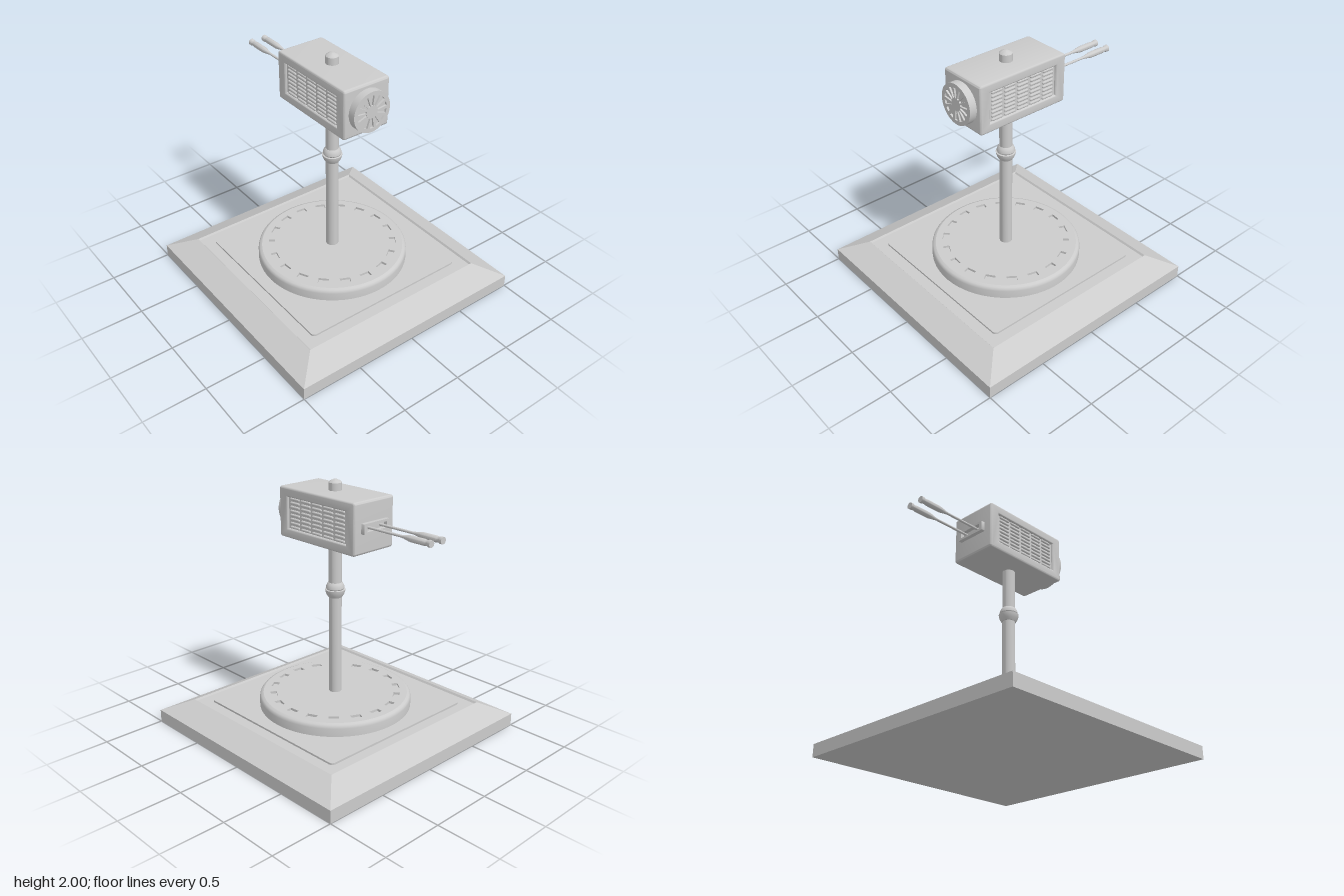
import * as THREE from 'three';
import { toCreasedNormals } from 'three/addons/utils/BufferGeometryUtils.js';

const material = new THREE.MeshStandardMaterial({ color: 0xcccccc });
const v2 = (pts) => pts.map(([x, y]) => new THREE.Vector2(x, y));

function add(parent, name, geometry, x = 0, y = 0, z = 0) {
  const mesh = new THREE.Mesh(geometry, material);
  mesh.name = name;
  mesh.position.set(x, y, z);
  parent.add(mesh);
  return mesh;
}

// Lathe with crisp corners where the profile turns sharply
function turned(pts, segments = 32) {
  return toCreasedNormals(new THREE.LatheGeometry(v2(pts), segments).toNonIndexed(), 0.6);
}

function roundedRect(w, h, r) {
  const s = new THREE.Shape();
  const x = w / 2 - r, y = h / 2 - r;
  s.absarc(x, y, r, 0, Math.PI / 2);
  s.absarc(-x, y, r, Math.PI / 2, Math.PI);
  s.absarc(-x, -y, r, Math.PI, Math.PI * 1.5);
  s.absarc(x, -y, r, Math.PI * 1.5, Math.PI * 2);
  s.closePath();
  return s;
}

const rectHole = (w, h) =>
  new THREE.Path(v2([[-w / 2, -h / 2], [-w / 2, h / 2], [w / 2, h / 2], [w / 2, -h / 2]]));

// Plate of total depth d, from z = 0 to z = d, with an optional rounded edge
function plate(shape, d, bevel = 0) {
  const g = new THREE.ExtrudeGeometry(shape, {
    depth: d - 2 * bevel, curveSegments: 6, bevelEnabled: bevel > 0,
    bevelThickness: bevel, bevelSize: bevel, bevelOffset: -bevel, bevelSegments: 3,
  });
  g.translate(0, 0, bevel);
  return toCreasedNormals(g, 0.6);
}

// Disc pierced by count holes; corners lists [radius, tangent offset]
function piercedDisc(radius, depth, count, offset, corners) {
  const s = new THREE.Shape();
  for (let i = 0; i < 64; i++) {
    const a = (i / 64) * Math.PI * 2;
    s[i ? 'lineTo' : 'moveTo'](radius * Math.cos(a), radius * Math.sin(a));
  }
  s.closePath();
  for (let i = 0; i < count; i++) {
    const a = offset + (i / count) * Math.PI * 2;
    const c = Math.cos(a), n = Math.sin(a);
    s.holes.push(new THREE.Path(v2(corners.map(([r, t]) => [r * c - t * n, r * n + t * c]))));
  }
  return plate(s, depth);
}

function createBase() {
  const base = new THREE.Group();
  base.name = 'base';
  // Square plinth with sloped rim and shallow recess
  const k = Math.SQRT2;
  const profile = [[0, 0], [1, 0], [1, 0.1], [0.8, 0.2], [0.79, 0.185], [0, 0.185]].map(([r, y]) => [r * k, y]);
  const plinth = new THREE.LatheGeometry(v2(profile), 4, Math.PI / 4).toNonIndexed();
  plinth.computeVertexNormals();
  add(base, 'plinth', plinth);

  add(base, 'squarePad', plate(roundedRect(1.4, 1.4, 0.03), 0.02).rotateX(-Math.PI / 2), 0, 0.18, 0);

  // Round platform: edge, slotted top, slot floor
  add(base, 'platformEdge', turned(
    [[0.6, 0.18], [0.6, 0.265], [0.597, 0.28], [0.588, 0.292], [0.57, 0.3]], 64));
  add(base, 'slottedTop', piercedDisc(0.57, 0.02, 18, Math.PI / 36,
    [[0.465, -0.04], [0.465, 0.04], [0.515, 0.04], [0.515, -0.04]]).rotateX(-Math.PI / 2), 0, 0.28, 0);
  add(base, 'slotFloor', new THREE.CircleGeometry(0.57, 64).rotateX(-Math.PI / 2), 0, 0.281, 0);
  return base;
}

function createHead() {
  const head = new THREE.Group();
  head.name = 'head';
  head.position.y = 1.725;

  // Casing extruded across x, with an opening on both sides
  const side = roundedRect(0.8, 0.39, 0.02);
  side.holes.push(rectHole(0.62, 0.24));
  add(head, 'casing', plate(side, 0.4, 0.014).rotateY(Math.PI / 2), -0.2);
  add(head, 'grillePanel', new THREE.BoxGeometry(0.364, 0.28, 0.68));

  // Grille slats, five columns of eight on each side
  const slat = new THREE.CapsuleGeometry(0.011, 0.082, 3, 8).rotateX(Math.PI / 2);
  for (const sx of [-1, 1]) {
    for (let col = -2; col <= 2; col++) {
      for (let row = 0; row < 8; row++) {
        add(head, 'grilleSlat', slat, sx * 0.183, (row - 3.5) * 0.031, col * 0.12);
      }
    }
  }

  // Round front vent
  add(head, 'ventHousing', new THREE.CylinderGeometry(0.16, 0.16, 0.055, 64).rotateX(Math.PI / 2), 0, 0, 0.4175);
  add(head, 'ventGrille', piercedDisc(0.16, 0.016, 14, Math.PI / 14,
    [[0.05, -0.007], [0.05, 0.007], [0.128, 0.017], [0.128, -0.017]]), 0, 0, 0.444);

  // Rear socket frame
  const socket = roundedRect(0.26, 0.08, 0.006);
  socket.holes.push(rectHole(0.2, 0.045));
  add(head, 'rearSocket', plate(socket, 0.04), 0, 0, -0.432);

  // Twin rods with thicker grips
  const rod = turned([[0.01, 0.38], [0.01, 0.72], [0.014, 0.75], [0.022, 0.79], [0.024, 0.81],
    [0.024, 0.93], [0.021, 0.94], [0.021, 0.955], [0.026, 0.965], [0.026, 0.987], [0, 0.987]], 20);
  rod.rotateX(-Math.PI / 2);
  for (const sx of [-1, 1]) add(head, 'rearRod', rod, sx * 0.06);
  return head;
}

export function createModel() {
  const model = new THREE.Group();
  model.name = 'headOnStand';
  model.add(createBase());
  // Post with chamfered cap, passing up through the head
  add(model, 'post', turned([[0.05, 0.29], [0.05, 1.978], [0.04, 1.988], [0.015, 2], [0, 2]]));
  // Collar: flared bowl below a rounded bead
  add(model, 'collar', turned([[0.048, 1.09], [0.055, 1.09], [0.068, 1.112], [0.076, 1.135], [0.078, 1.15],
    [0.066, 1.153], [0.071, 1.162], [0.069, 1.178], [0.062, 1.195], [0.052, 1.207], [0.048, 1.208]]));
  model.add(createHead());
  return model;
}
